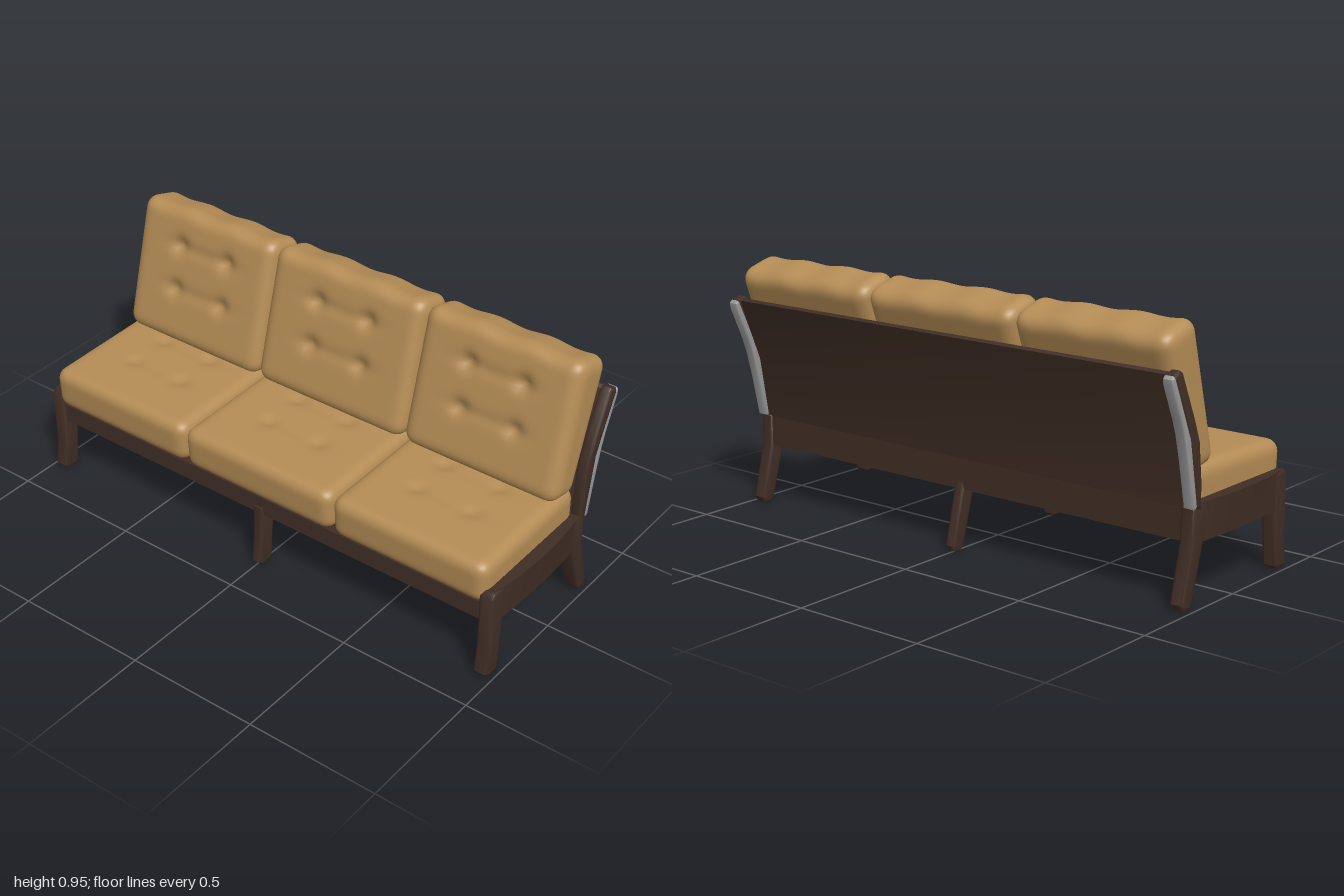
import * as THREE from 'three';
import { mergeVertices, toCreasedNormals } from 'three/addons/utils/BufferGeometryUtils.js';

const mat = (name, color) => {
  const m = new THREE.MeshStandardMaterial({ color });
  m.name = name;
  return m;
};

export function createModel() {
  const group = new THREE.Group();
  const fabric = mat('tan upholstery', 0xb48c55);
  const wood = mat('dark wood', 0x402e25);
  const underside = mat('underside cloth', 0x2a2119);
  const metal = mat('grey strip', 0x989898);

  const add = (name, geometry, material) => {
    const mesh = new THREE.Mesh(geometry, material);
    mesh.name = name;
    group.add(mesh);
    return mesh;
  };

  // Extrudes a [z, y] side profile across x, with rounded edges
  const slab = (name, profile, x, width, bevel, material) => {
    const shape = new THREE.Shape(profile.map(([z, y]) => new THREE.Vector2(z, y)));
    const g = new THREE.ExtrudeGeometry(shape, {
      depth: width - 2 * bevel, bevelEnabled: true, bevelThickness: bevel,
      bevelSize: bevel, bevelOffset: -bevel, bevelSegments: 3,
    });
    g.translate(0, 0, -(width - 2 * bevel) / 2);
    g.rotateY(-Math.PI / 2);
    g.translate(x, 0, 0);
    return add(name, toCreasedNormals(g, 0.7), material);
  };

  const box = (name, w, h, d, x, y, z, material) =>
    add(name, new THREE.BoxGeometry(w, h, d).translate(x, y, z), material);

  // Tufted cushion: rounded box whose z side has four buttons, then fitted
  // into a side-view quad given as [z, y] corners (start/end, inner/outer)
  const cushion = (name, x, w, h, d, r, tuft, quad) => {
    let g = new THREE.BoxGeometry(w, h, d, 40, 36, 12);
    g.deleteAttribute('uv');
    g.deleteAttribute('normal');
    const p = g.attributes.position;
    const v = new THREE.Vector3();
    const inner = new THREE.Vector3();
    const lim = new THREE.Vector3(w / 2 - r, h / 2 - r, d / 2 - r);
    const [startIn, startOut, endIn, endOut] = quad.map(([z, y]) => new THREE.Vector2(z, y));
    for (let i = 0; i < p.count; i++) {
      v.fromBufferAttribute(p, i);
      inner.copy(v).clamp(lim.clone().negate(), lim);
      v.sub(inner);
      if (v.length() > r) v.setLength(r);
      v.add(inner);
      // button dimples and the soft folds joining them
      const side = Math.max(0, v.z / (d / 2));
      let dip = 0;
      for (const bx of [-0.11, 0.11]) for (const by of [-0.05, 0.11]) {
        dip += Math.exp(-((v.x - bx) ** 2 + (v.y - by) ** 2) / 0.0009);
      }
      let fold = 0;
      for (const by of [-0.05, 0.11]) {
        fold += Math.exp(-((v.y - by) ** 2) / 0.0005) * Math.exp(-((v.x / 0.17) ** 4));
      }
      v.z -= side * tuft * (dip + 0.3 * fold);
      // gentle wave along the far edge
      v.y -= 0.004 * Math.max(0, v.y / (h / 2)) * Math.cos((v.x / w) * Math.PI * 6);
      const t = v.y / h + 0.5;
      const s = v.z / d + 0.5;
      const a = startIn.clone().lerp(endIn, t);
      const b = startOut.clone().lerp(endOut, t);
      a.lerp(b, s);
      p.setXYZ(i, x + v.x, a.y, a.x);
    }
    g = mergeVertices(g, 1e-5);
    g.computeVertexNormals();
    return add(name, g, fabric);
  };

  // Cushions
  for (const [label, x, w] of [['right', -0.642, 0.628], ['middle', -0.002, 0.652], ['left', 0.64, 0.628]]) {
    cushion(`${label}SeatCushion`, x, w, 0.55, 0.165, 0.045, 0.01,
      [[0.35, 0.287], [0.36, 0.45], [-0.195, 0.287], [-0.195, 0.463]]);
    cushion(`${label}BackCushion`, x, w, 0.5, 0.16, 0.05, 0.02,
      [[-0.182, 0.428], [-0.042, 0.455], [-0.352, 0.905], [-0.172, 0.96]]);
  }

  // Leg side profiles
  const frontFoot = [[0.275, 0.22], [0.29, 0.015], [0.302, 0.003], [0.345, 0.003], [0.36, 0.018], [0.348, 0.12]];
  const rearFoot = [[-0.22, 0.22], [-0.27, 0.025], [-0.26, 0.005], [-0.24, 0], [-0.222, 0.008], [-0.212, 0.022], [-0.155, 0.22]];

  // End frames, mirrored
  for (const s of [1, -1]) {
    const label = s > 0 ? 'left' : 'right';
    slab(`${label}FrontLeg`, [[0.272, 0.35], ...frontFoot, [0.348, 0.33], [0.335, 0.35]], s * 0.957, 0.056, 0.012, wood);
    slab(`${label}RearLeg`, [[-0.195, 0.352], [-0.218, 0.335], ...rearFoot, [-0.14, 0.352]], s * 0.957, 0.056, 0.012, wood);

    // side rail, bowed outwards, most at the top
    const rail = new THREE.BoxGeometry(0.04, 0.135, 0.53, 1, 4, 20);
    const p = rail.attributes.position;
    for (let i = 0; i < p.count; i++) {
      if (p.getX(i) * s > 0) {
        const bow = 1 - (p.getZ(i) / 0.265) ** 2;
        p.setX(i, p.getX(i) + s * bow * (0.013 + 0.08 * (p.getY(i) + 0.0675)));
      }
    }
    rail.translate(s * 0.957, 0.284, 0.06);
    rail.computeVertexNormals();
    add(`${label}SideRail`, rail, wood);

    // bent back post and the strip along its rear edge
    slab(`${label}BackPost`, [[-0.182, 0.33], [-0.182, 0.42], [-0.198, 0.56], [-0.225, 0.63], [-0.302, 0.8],
      [-0.315, 0.808], [-0.345, 0.797], [-0.347, 0.78], [-0.285, 0.65], [-0.25, 0.57], [-0.21, 0.34]],
    s * 0.969, 0.042, 0.009, wood);
    slab(`${label}PostStrip`, [[-0.205, 0.345], [-0.248, 0.575], [-0.283, 0.655], [-0.34, 0.785], [-0.35, 0.796],
      [-0.36, 0.785], [-0.358, 0.765], [-0.305, 0.645], [-0.285, 0.59], [-0.262, 0.5], [-0.228, 0.34], [-0.215, 0.335]],
    s * 0.969, 0.04, 0.006, metal);
  }

  // Middle legs
  slab('middleFrontLeg', [[0.275, 0.25], ...frontFoot, [0.345, 0.25]], 0, 0.042, 0.01, wood);
  slab('middleRearLeg', [[-0.213, 0.25], ...rearFoot, [-0.155, 0.25]], 0, 0.042, 0.01, wood);

  // Base
  box('frontRail', 1.88, 0.07, 0.03, 0, 0.257, 0.322, wood);
  box('rearRail', 1.88, 0.11, 0.03, 0, 0.277, -0.198, wood);
  box('middleRail', 0.02, 0.03, 0.5, 0, 0.236, 0.06, wood);
  box('seatDeck', 1.88, 0.055, 0.5, 0, 0.258, 0.06, underside);

  // Back panel, following the bend of the posts
  slab('backPanel', [[-0.186, 0.32], [-0.225, 0.56], [-0.312, 0.795], [-0.325, 0.802],
    [-0.341, 0.795], [-0.25, 0.56], [-0.21, 0.32]], 0, 1.91, 0.004, wood);

  return group;
}
